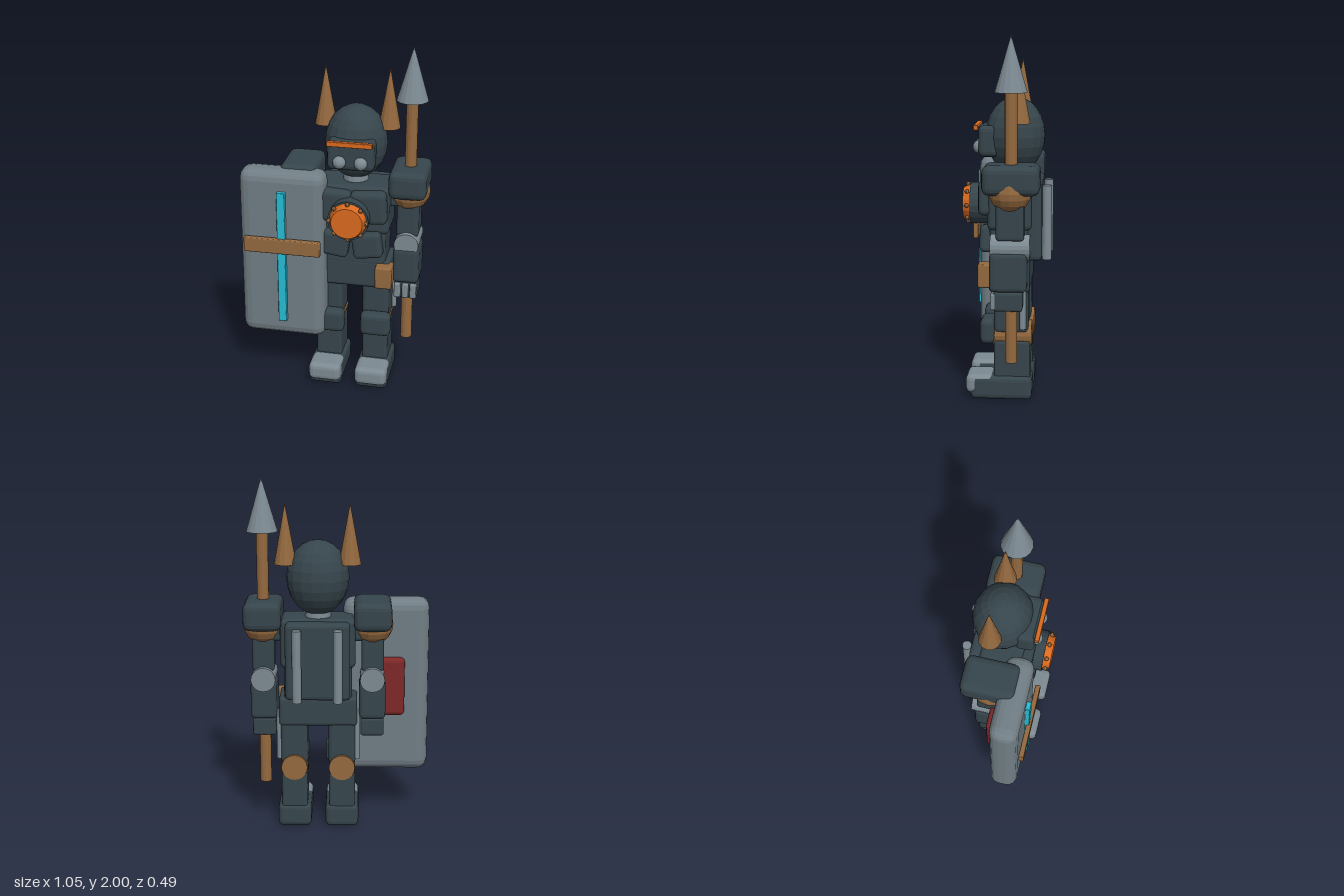
import * as THREE from 'three';
import { RoundedBoxGeometry } from 'three/addons/geometries/RoundedBoxGeometry.js';

const mat = (name, color) => {
  const m = new THREE.MeshStandardMaterial({ color, flatShading: true });
  m.name = name;
  return m;
};

export function createModel() {
  const armor = mat('dark armor', 0x36454c);
  const steel = mat('steel', 0x7d8a92);
  const plate = mat('shield steel', 0x717e85);
  const bronze = mat('bronze', 0x94693f);
  const orange = mat('orange', 0xd9691f);
  const cyan = mat('cyan', 0x26bcd4);
  const red = mat('dark red', 0x7e2828);

  const model = new THREE.Group();
  model.name = 'shieldGuard';
  const body = new THREE.Group();
  body.name = 'body';
  body.position.x = 0.1;
  model.add(body);

  const add = (parent, name, geo, material, x, y, z) => {
    const m = new THREE.Mesh(geo, material);
    m.name = name;
    m.position.set(x, y, z);
    parent.add(m);
    return m;
  };
  // chamfered box given by centre and size
  const box = (parent, name, material, [x, y, z], [w, h, d], bevel = 0.025) =>
    add(parent, name, new RoundedBoxGeometry(w, h, d, 2, bevel), material, x, y, z);
  const rod = (parent, name, material, [x, y, z], rTop, rBottom, h, sides = 16) =>
    add(parent, name, new THREE.CylinderGeometry(rTop, rBottom, h, sides), material, x, y, z);
  // cylinder whose axis runs front to back
  const drum = (parent, name, material, pos, rFront, rBack, len, sides = 20) => {
    const m = rod(parent, name, material, pos, rFront, rBack, len, sides);
    m.rotation.x = Math.PI / 2;
    return m;
  };

  // torso
  box(body, 'pelvis', armor, [0, 0.695, -0.02], [0.44, 0.17, 0.22], 0.02);
  box(body, 'abdomen', armor, [0, 0.86, -0.02], [0.38, 0.24, 0.22], 0.03);
  box(body, 'chest', armor, [0, 1.09, -0.02], [0.42, 0.28, 0.24], 0.03);
  box(body, 'backPack', armor, [0, 1.0, -0.145], [0.36, 0.44, 0.1], 0.025);
  box(body, 'hipPouch', bronze, [0.19, 0.705, 0.1], [0.095, 0.13, 0.1], 0.01);
  rod(body, 'neck', steel, [0, 1.24, -0.035], 0.068, 0.075, 0.1);

  // chest medallion with rivets
  drum(body, 'medallionBase', armor, [0, 1.07, 0.15], 0.115, 0.115, 0.11);
  drum(body, 'medallion', orange, [0, 1.07, 0.223], 0.088, 0.106, 0.045);
  for (let i = 0; i < 8; i++) {
    const a = (i * Math.PI) / 4;
    add(body, 'rivet', new THREE.SphereGeometry(0.013, 8, 6), bronze,
      0.104 * Math.cos(a), 1.07 + 0.104 * Math.sin(a), 0.222);
  }

  // head
  const skull = add(body, 'helmet', new THREE.SphereGeometry(1, 18, 12), armor, 0, 1.45, -0.04);
  skull.scale.set(0.175, 0.21, 0.165);
  box(body, 'facePlate', armor, [0, 1.425, 0.1], [0.26, 0.17, 0.11], 0.03);
  box(body, 'browBand', orange, [0, 1.5, 0.168], [0.25, 0.028, 0.025], 0.004);
  box(body, 'browMount', armor, [0, 1.49, 0.125], [0.22, 0.025, 0.07], 0.006);

  for (const s of [-1, 1]) {
    // face and horns
    add(body, 'eye', new THREE.SphereGeometry(0.037, 14, 10), steel, s * 0.059, 1.39, 0.153);
    add(body, 'horn', new THREE.ConeGeometry(0.062, 0.335, 12), bronze, s * 0.177, 1.698, -0.07);

    // torso plates and back tubes
    const pec = box(body, 'chestPlate', armor, [s * 0.1, 1.12, 0.095], [0.2, 0.19, 0.11], 0.03);
    pec.rotation.z = s * 0.06;
    const rib = box(body, 'ribPlate', armor, [s * 0.092, 0.89, 0.1], [0.165, 0.15, 0.09], 0.025);
    rib.rotation.z = s * 0.14;
    rod(body, 'backTube', steel, [s * 0.113, 0.985, -0.22], 0.026, 0.026, 0.41);
    rod(body, 'hipRod', steel, [s * 0.218, 0.555, -0.095], 0.018, 0.018, 0.29, 12);

    // leg
    const leg = new THREE.Group();
    leg.name = s > 0 ? 'leftLeg' : 'rightLeg';
    leg.position.x = s * 0.135;
    body.add(leg);
    box(leg, 'thigh', armor, [0, 0.52, -0.03], [0.155, 0.28, 0.19]);
    drum(leg, 'knee', bronze, [0, 0.365, -0.035], 0.074, 0.074, 0.215);
    box(leg, 'kneeCap', armor, [0.01, 0.39, 0.1], [0.175, 0.14, 0.08], 0.03);
    box(leg, 'shin', armor, [0, 0.225, -0.035], [0.148, 0.22, 0.2], 0.015);
    box(leg, 'foot', armor, [0, 0.07, 0.025], [0.19, 0.135, 0.34], 0.03);
    box(leg, 'toeCap', steel, [0, 0.088, 0.14], [0.188, 0.105, 0.16], 0.03);

    // arm
    const arm = new THREE.Group();
    arm.name = s > 0 ? 'leftArm' : 'rightArm';
    arm.position.set(s * 0.305, 0, -0.035);
    body.add(arm);
    box(arm, 'pauldron', armor, [0, 1.25, -0.005], [0.21, 0.16, 0.305], 0.04);
    add(arm, 'shoulderJoint', new THREE.SphereGeometry(0.115, 14, 10), bronze, 0, 1.185, 0);
    box(arm, 'shoulderLink', armor, [s * -0.1, 1.15, 0], [0.16, 0.1, 0.14], 0.02);
    box(arm, 'upperArm', armor, [0, 1.06, 0], [0.125, 0.27, 0.15], 0.02);
    drum(arm, 'elbow', steel, [0, 0.885, 0], 0.069, 0.069, 0.21);
    box(arm, 'forearm', armor, [0, 0.757, 0.01], [0.148, 0.215, 0.2]);
    box(arm, 'hand', armor, [0, 0.597, 0.01], [0.132, 0.105, 0.155], 0.015);
    for (let i = -1; i <= 1; i++)
      box(arm, 'finger', steel, [i * 0.045, 0.597, 0.085], [0.038, 0.09, 0.04], 0.01);
  }

  // spear
  const spear = new THREE.Group();
  spear.name = 'spear';
  spear.position.set(0.405, 0, -0.038);
  model.add(spear);
  rod(spear, 'spearShaft', bronze, [0, 0.98, 0], 0.033, 0.033, 1.46, 14);
  add(spear, 'spearHead', new THREE.ConeGeometry(0.087, 0.295, 16), steel, 0, 1.8525, 0);

  // shield
  const shield = new THREE.Group();
  shield.name = 'shield';
  shield.position.set(-0.284, 0.8, 0);
  model.add(shield);
  box(shield, 'shieldPlate', plate, [0, 0, 0.097], [0.488, 1.02, 0.16], 0.06);
  box(shield, 'shieldLight', cyan, [0.005, 0, 0.188], [0.048, 0.8, 0.03], 0.005);
  box(shield, 'shieldBar', bronze, [0.009, 0.078, 0.2], [0.437, 0.09, 0.03], 0.008);
  box(shield, 'shieldGrip', red, [0, 0.01, 0.0], [0.21, 0.34, 0.06], 0.025);

  return model;
}
